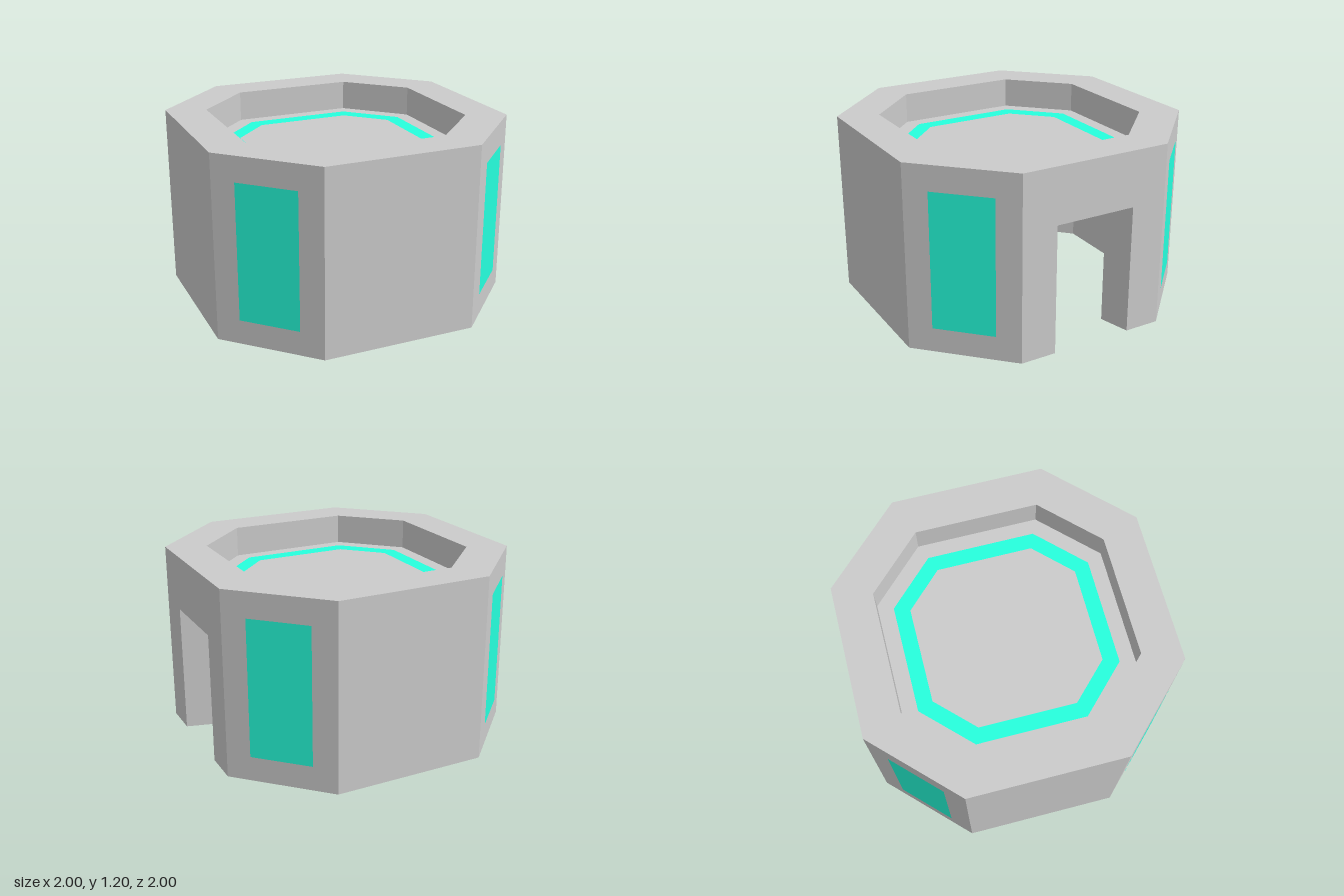
import * as THREE from 'three';

const HEIGHT = 1.2, ROOF = 1.0, CEILING = 0.78;

// Chamfered-square octagon: a = half width, b = half length of a straight side.
// Side 0 faces +x.
const ring = (a, b, y) =>
  [[a, -b], [a, b], [b, a], [-b, a], [-a, b], [-a, -b], [-b, -a], [b, -a]]
    .map(([x, z]) => new THREE.Vector3(x, y, z));

// Quads joining two rings; `first` = 1 leaves the doorway side open
const strip = (A, B, first = 0) => {
  const faces = [];
  for (let i = first; i < 8; i++) {
    const j = (i + 1) % 8;
    faces.push([A[i], B[i], B[j], A[j]]);
  }
  return faces;
};

// Flat convex faces, fanned into triangles
function mesh(name, faces, material) {
  const points = [];
  for (const f of faces)
    for (let i = 1; i < f.length - 1; i++) points.push(f[0], f[i], f[i + 1]);
  const geometry = new THREE.BufferGeometry().setFromPoints(points);
  geometry.computeVertexNormals();
  const m = new THREE.Mesh(geometry, material);
  m.name = name;
  return m;
}

export function createModel() {
  const grey = new THREE.MeshStandardMaterial({ color: 0xcccccc, flatShading: true });
  const teal = new THREE.MeshStandardMaterial({ color: 0x26ffdd, flatShading: true });
  const model = new THREE.Group();
  model.name = 'octagonalBuilding';

  const ceiling = ring(0.8, 0.4, CEILING), innerFoot = ring(0.8, 0.4, 0);
  const outerFoot = ring(1, 0.5, 0), outerTop = ring(1, 0.5, HEIGHT);
  const recessTop = ring(0.75, 0.4, HEIGHT), recessFoot = ring(0.75, 0.4, ROOF);

  // Splayed doorway outline on the outer and inner wall faces
  const outline = (x, d, h) =>
    [[-d, 0], [-d, h], [d, h], [d, 0]].map(([z, y]) => new THREE.Vector3(x, y, z));
  const doorOut = outline(1, 0.267, 0.84), doorIn = outline(0.8, 0.214, CEILING);
  const headOut = outline(1, 0.267, HEIGHT);

  // Walls, with jambs either side of the doorway and a lintel above
  model.add(mesh('outerWall', [
    ...strip(outerFoot, outerTop, 1),
    [outerFoot[0], outerTop[0], headOut[1], doorOut[0]],
    [doorOut[3], headOut[2], outerTop[1], outerFoot[1]],
    [doorOut[1], headOut[1], headOut[2], doorOut[2]],
  ], grey));
  model.add(mesh('innerWall', [
    ...strip(ceiling, innerFoot, 1),
    [ceiling[0], innerFoot[0], doorIn[0], doorIn[1]],
    [doorIn[2], doorIn[3], innerFoot[1], ceiling[1]],
  ], grey));
  model.add(mesh('wallBase', [
    ...strip(innerFoot, outerFoot, 1),
    [innerFoot[0], outerFoot[0], doorOut[0], doorIn[0]],
    [doorIn[3], doorOut[3], outerFoot[1], innerFoot[1]],
  ], grey));
  model.add(mesh('doorReveal', [0, 1, 2].map((k) =>
    [doorOut[k], doorOut[k + 1], doorIn[k + 1], doorIn[k]]), grey));
  model.add(mesh('ceiling', [ceiling], grey));

  // Parapet and sunken roof
  model.add(mesh('parapetTop', strip(outerTop, recessTop), grey));
  model.add(mesh('parapetInside', strip(recessTop, recessFoot), grey));
  model.add(mesh('roof', [[...recessFoot].reverse()], grey));
  model.add(mesh('roofBand',
    strip(ring(0.65, 0.355, ROOF + 0.004), ring(0.55, 0.315, ROOF + 0.004)), teal));

  // Coloured panels on the four diagonal walls
  for (const i of [1, 3, 5, 7]) {
    const a = outerFoot[i], b = outerFoot[(i + 1) % 8];
    const out = a.clone().add(b).normalize().multiplyScalar(0.004);
    const corner = (t, y) => a.clone().lerp(b, t).add(out).setY(y);
    model.add(mesh('wallPanel', [[
      corner(0.22, 0.16), corner(0.22, 1.04), corner(0.78, 1.04), corner(0.78, 0.16),
    ]], teal));
  }
  return model;
}
